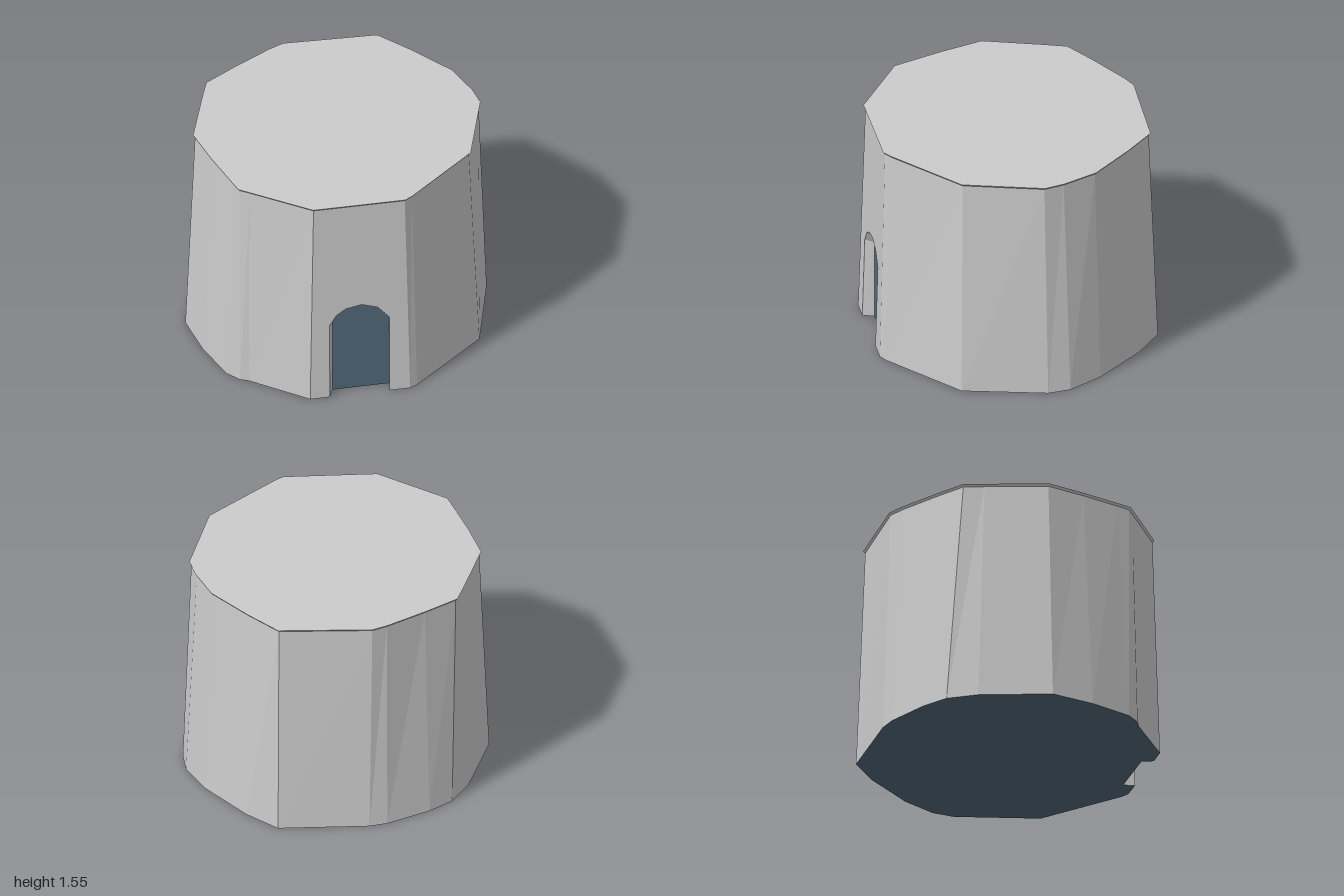
import * as THREE from 'three';

const WALL_TOP = 1.535, ROOF_TOP = 1.55;

// Footprint corners [base x, base z, top x, top z], from the back round by the left side
const CORNERS = [
  [0.12, -1.0, 0.13, -0.94], [0.36, -0.9, 0.36, -0.82], [0.7, -0.68, 0.66, -0.64],
  [0.88, -0.5, 0.82, -0.45], [0.94, -0.36, 0.89, -0.33], [0.97, 0.21, 0.9, 0.21],
  [0.63, 0.75, 0.59, 0.71], [0.59, 0.79, 0.55, 0.76], [-0.045, 1.0, -0.03, 0.95],
  [-0.47, 0.86, -0.47, 0.82], [-0.53, 0.855, -0.54, 0.8], [-0.63, 0.8, -0.6, 0.72],
  [-0.82, 0.56, -0.76, 0.5], [-0.97, 0.3, -0.91, 0.27], [-0.96, -0.19, -0.905, -0.15],
  [-0.905, -0.4, -0.9, -0.29], [-0.79, -0.55, -0.74, -0.48], [-0.56, -0.76, -0.54, -0.7],
  [-0.455, -0.82, -0.46, -0.77],
];
const DOOR_WALL = 7; // wall running from this corner to the next holds the doorway

// Doorway outline (x, y) on the wall face and on the recessed door
const ARCH = [[0.08, 0], [0.075, 0.58], [0.12, 0.66], [0.18, 0.705], [0.28, 0.725], [0.38, 0.69], [0.455, 0.6], [0.46, 0]];
const INNER = [[0.085, 0], [0.085, 0.57], [0.12, 0.63], [0.18, 0.67], [0.28, 0.69], [0.375, 0.65], [0.445, 0.58], [0.45, 0]];

const stone = new THREE.MeshStandardMaterial({ color: 0xcccccc, flatShading: true });
const stoneThin = new THREE.MeshStandardMaterial({ color: 0xcccccc, flatShading: true, side: THREE.DoubleSide });
const slate = new THREE.MeshStandardMaterial({ color: 0x53687a, flatShading: true });

const part = (name, geometry, material) => {
  const mesh = new THREE.Mesh(geometry, material);
  mesh.name = name;
  return mesh;
};
const shapeOf = (points) => new THREE.Shape(points.map(([x, y]) => new THREE.Vector2(x, y)));

// Quads given as four corners, counter-clockwise from outside
function quads(list) {
  const pos = [];
  for (const [a, b, c, d] of list) pos.push(...a, ...b, ...c, ...a, ...c, ...d);
  const g = new THREE.BufferGeometry();
  g.setAttribute('position', new THREE.Float32BufferAttribute(pos, 3));
  g.computeVertexNormals();
  return g;
}

// Depth of the door wall at a given x and height
function wallZ(x, y) {
  const t = y / WALL_TOP;
  const at = ([bx, bz, tx, tz]) => [bx + (tx - bx) * t, bz + (tz - bz) * t];
  const [rx, rz] = at(CORNERS[DOOR_WALL]), [lx, lz] = at(CORNERS[DOOR_WALL + 1]);
  return lz + (rz - lz) * (x - lx) / (rx - lx);
}
const doorZ = (x) => wallZ(x, 0) - 0.08;

// Flat outline bent onto a depth rule
function panel(points, depth) {
  const g = new THREE.ShapeGeometry(shapeOf(points));
  const p = g.attributes.position;
  for (let i = 0; i < p.count; i++) p.setZ(i, depth(p.getX(i), p.getY(i)));
  g.computeVertexNormals();
  return g;
}

export function createModel() {
  const model = new THREE.Group();
  model.name = 'roundTower';
  const next = (i) => CORNERS[(i + 1) % CORNERS.length];

  // Tapering wall and the flared roof edge
  const walls = [], rim = [];
  const flare = 1.014;
  CORNERS.forEach((c, i) => {
    const n = next(i);
    const t0 = [c[2], WALL_TOP, c[3]], t1 = [n[2], WALL_TOP, n[3]];
    if (i !== DOOR_WALL) walls.push([[n[0], 0, n[1]], [c[0], 0, c[1]], t0, t1]);
    rim.push([t1, t0, [c[2] * flare, ROOF_TOP, c[3] * flare], [n[2] * flare, ROOF_TOP, n[3] * flare]]);
  });
  model.add(part('wall', quads(walls), stone));
  model.add(part('roofEdge', quads(rim), stoneThin));

  // Flat roof
  const roof = new THREE.ShapeGeometry(shapeOf(CORNERS.map((c) => [c[2] * flare, -c[3] * flare])));
  roof.rotateX(-Math.PI / 2).translate(0, ROOF_TOP, 0);
  model.add(part('roof', roof, stone));

  // Wall with the doorway cut out
  const r = CORNERS[DOOR_WALL], l = CORNERS[DOOR_WALL + 1];
  const outline = [[l[0], 0], ...ARCH, [r[0], 0], [r[2], WALL_TOP], [l[2], WALL_TOP]];
  model.add(part('doorWall', panel(outline, wallZ), stone));

  // Doorway sides and arch, then the recessed door
  const reveal = [];
  for (let i = 0; i < ARCH.length - 1; i++) {
    const out = ([x, y]) => [x, y, wallZ(x, y)], inn = ([x, y]) => [x, y, doorZ(x)];
    reveal.push([out(ARCH[i]), out(ARCH[i + 1]), inn(INNER[i + 1]), inn(INNER[i])]);
  }
  model.add(part('doorReveal', quads(reveal), stoneThin));
  model.add(part('door', panel(INNER, doorZ), slate));

  // Underside, notched at the doorway
  const floor = CORNERS.map((c) => [c[0], c[1]]);
  const [a, b] = [ARCH[0][0], ARCH[ARCH.length - 1][0]];
  const [ia, ib] = [INNER[0][0], INNER[INNER.length - 1][0]];
  floor.splice(DOOR_WALL + 1, 0, [b, wallZ(b, 0)], [ib, doorZ(ib)], [ia, doorZ(ia)], [a, wallZ(a, 0)]);
  const base = new THREE.ShapeGeometry(shapeOf(floor));
  base.rotateX(Math.PI / 2);
  model.add(part('underside', base, slate));

  return model;
}
